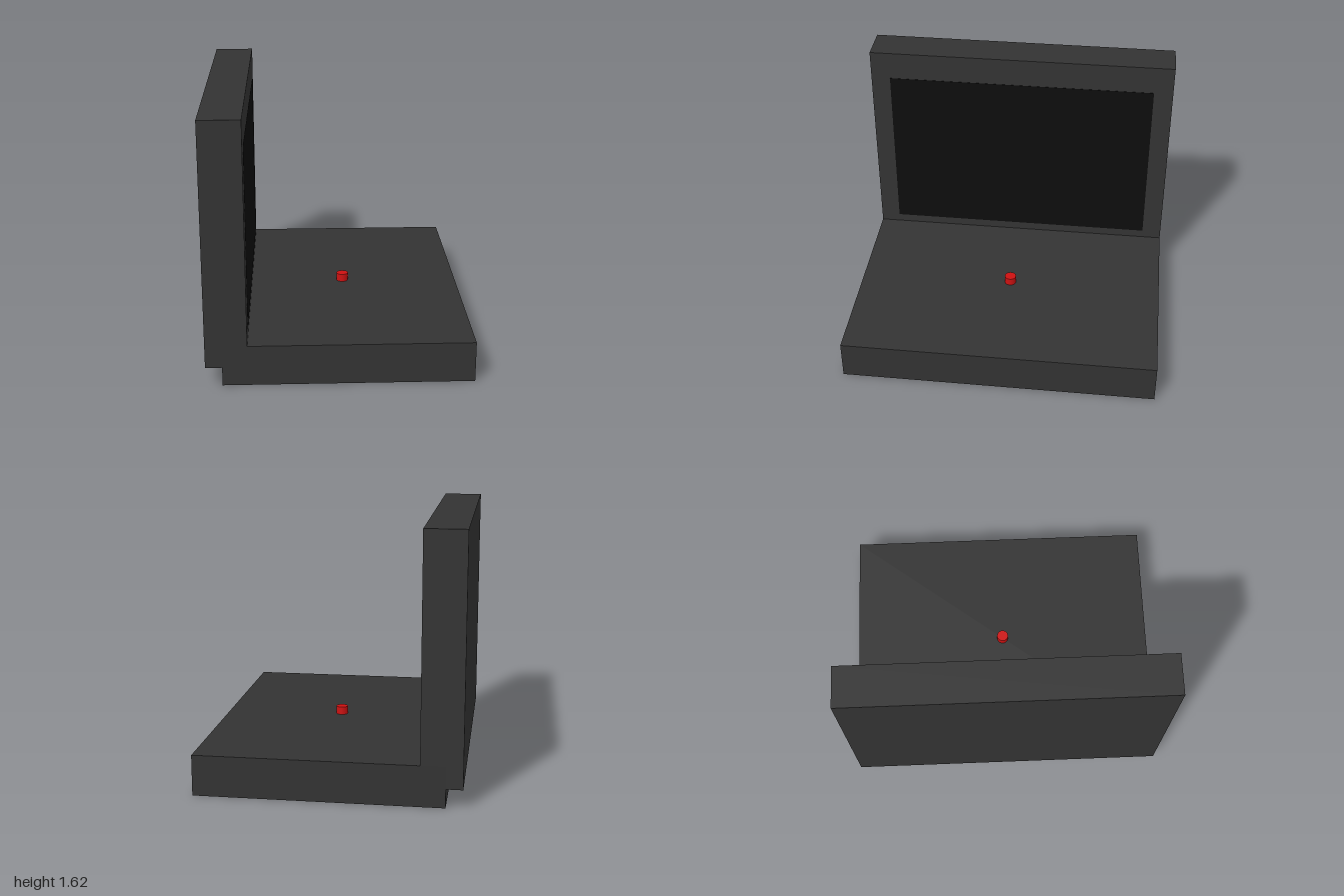
import * as THREE from 'three';

export function createModel() {
  const model = new THREE.Group();

  const add = (name, geometry, color, x, y, z = 0) => {
    const mesh = new THREE.Mesh(geometry, new THREE.MeshStandardMaterial({ color }));
    mesh.name = name;
    mesh.position.set(x, y, z);
    model.add(mesh);
    return mesh;
  };

  // Keyboard half, lying flat
  add('base', new THREE.BoxGeometry(1.5, 0.25, 2), 0x333333, 0.05, 0.125);

  // Upright half, overhanging the base at the hinge side
  add('lid', new THREE.BoxGeometry(0.25, 1.5, 2), 0x333333, -0.675, 0.865);

  // Thin dark panel, almost flush with the lid and facing +x
  add('screen', new THREE.BoxGeometry(0.01, 1.125, 1.75), 0x0d0d0d, -0.553, 0.8675);

  // Red pointing nub in the middle of the base
  add('pointingNub', new THREE.CylinderGeometry(0.0375, 0.0375, 0.05, 32), 0xcc1111, 0.05, 0.275);

  return model;
}
